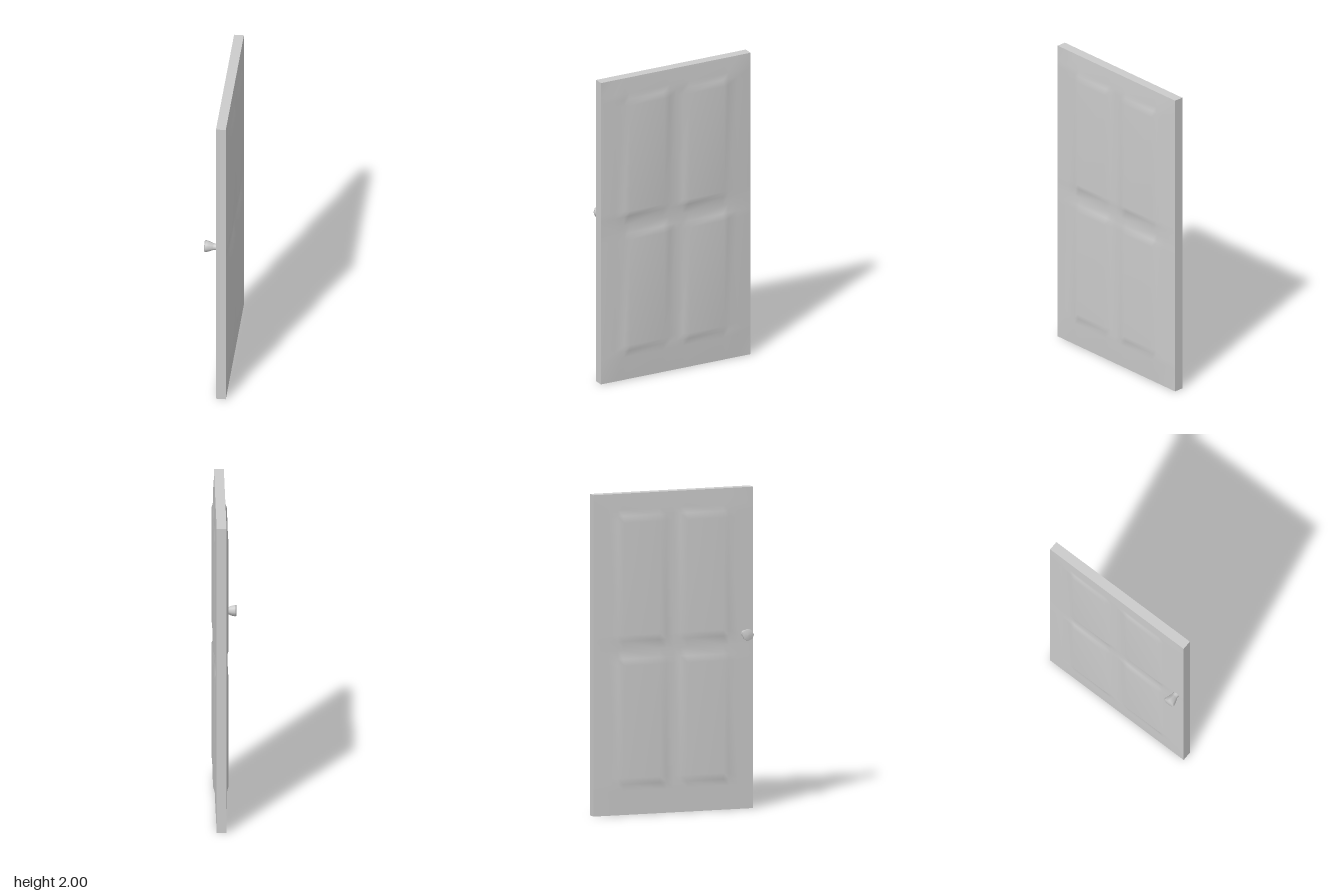
import * as THREE from 'three';

const material = new THREE.MeshStandardMaterial({ color: 0xcccccc, side: THREE.DoubleSide });

// Grid lines of the moulded faces: door edge, panel surround, bevel, raised field
const Z = [-0.525, -0.43, -0.365, -0.33, -0.09, -0.045, 0, 0.045, 0.09, 0.33, 0.365, 0.43, 0.525];
const Y = [0, 0.15, 0.19, 0.23, 0.93, 0.97, 1.025, 1.08, 1.12, 1.82, 1.86, 1.9, 2];
const inField = (v, ranges) => ranges.some(([a, b]) => v > a - 0.001 && v < b + 0.001);

// Relief height above the slab at one grid point
function relief(y, z, surround, field) {
  if (y < 0.001 || y > 1.999 || Math.abs(z) > 0.524) return 0;
  const onPanelZ = inField(Math.abs(z), [[0.09, 0.33]]);
  if (onPanelZ && inField(y, [[0.23, 0.93], [1.12, 1.82]])) return field;
  if (inField(y, [[0.97, 1.08]])) return Math.abs(z) > 0.4 ? surround * 0.6 : surround * 0.3;
  return surround;
}

// One moulded face; dir is the side of the slab it looks towards
function mouldedFace(name, baseX, dir, surround, field) {
  const pos = [], index = [], n = Z.length;
  for (const y of Y) for (const z of Z) pos.push(baseX + dir * relief(y, z, surround, field), y, z);
  for (let j = 0; j < Y.length - 1; j++) {
    for (let i = 0; i < n - 1; i++) {
      const a = j * n + i, b = a + 1, c = a + n, d = c + 1;
      if (dir > 0) index.push(a, c, b, b, c, d);
      else index.push(a, b, c, b, d, c);
    }
  }
  const geo = new THREE.BufferGeometry();
  geo.setAttribute('position', new THREE.Float32BufferAttribute(pos, 3));
  geo.setIndex(index);
  geo.computeVertexNormals();
  const mesh = new THREE.Mesh(geo, material);
  mesh.name = name;
  return mesh;
}

export function createModel() {
  const group = new THREE.Group();
  group.name = 'door';

  // Rim of the door: the four narrow sides between the moulded faces
  const x0 = -0.002, x1 = 0.059;
  const addRim = (name, h, d, y, z) => {
    const geo = h ? new THREE.PlaneGeometry(x1 - x0, h) : new THREE.PlaneGeometry(x1 - x0, d);
    const mesh = new THREE.Mesh(geo, material);
    if (h) mesh.rotation.y = z > 0 ? 0 : Math.PI;
    else mesh.rotation.x = y > 1 ? -Math.PI / 2 : Math.PI / 2;
    mesh.position.set((x0 + x1) / 2, y, z);
    mesh.name = name;
    group.add(mesh);
  };
  addRim('frontEdge', 2, 0, 1, 0.525);
  addRim('backEdge', 2, 0, 1, -0.525);
  addRim('topEdge', 0, 1.05, 2, 0);
  addRim('bottomEdge', 0, 1.05, 0, 0);

  // Both four-panel faces
  group.add(mouldedFace('leftPanelFace', x1, 1, 0.007, 0.019));
  group.add(mouldedFace('rightPanelFace', x0, -1, 0.003, 0.015));

  // Flared knob, standing out towards -x
  const profile = [[0.022, 0], [0.021, 0.018], [0.024, 0.028], [0.033, 0.05], [0.038, 0.07], [0.036, 0.078], [0, 0.08]];
  const knobGeo = new THREE.LatheGeometry(profile.map(([r, h]) => new THREE.Vector2(r, h)), 8);
  const knob = new THREE.Mesh(knobGeo, material);
  knob.name = 'knob';
  knob.rotation.z = Math.PI / 2;
  knob.position.set(0, 1.09, 0.467);
  group.add(knob);

  return group;
}
